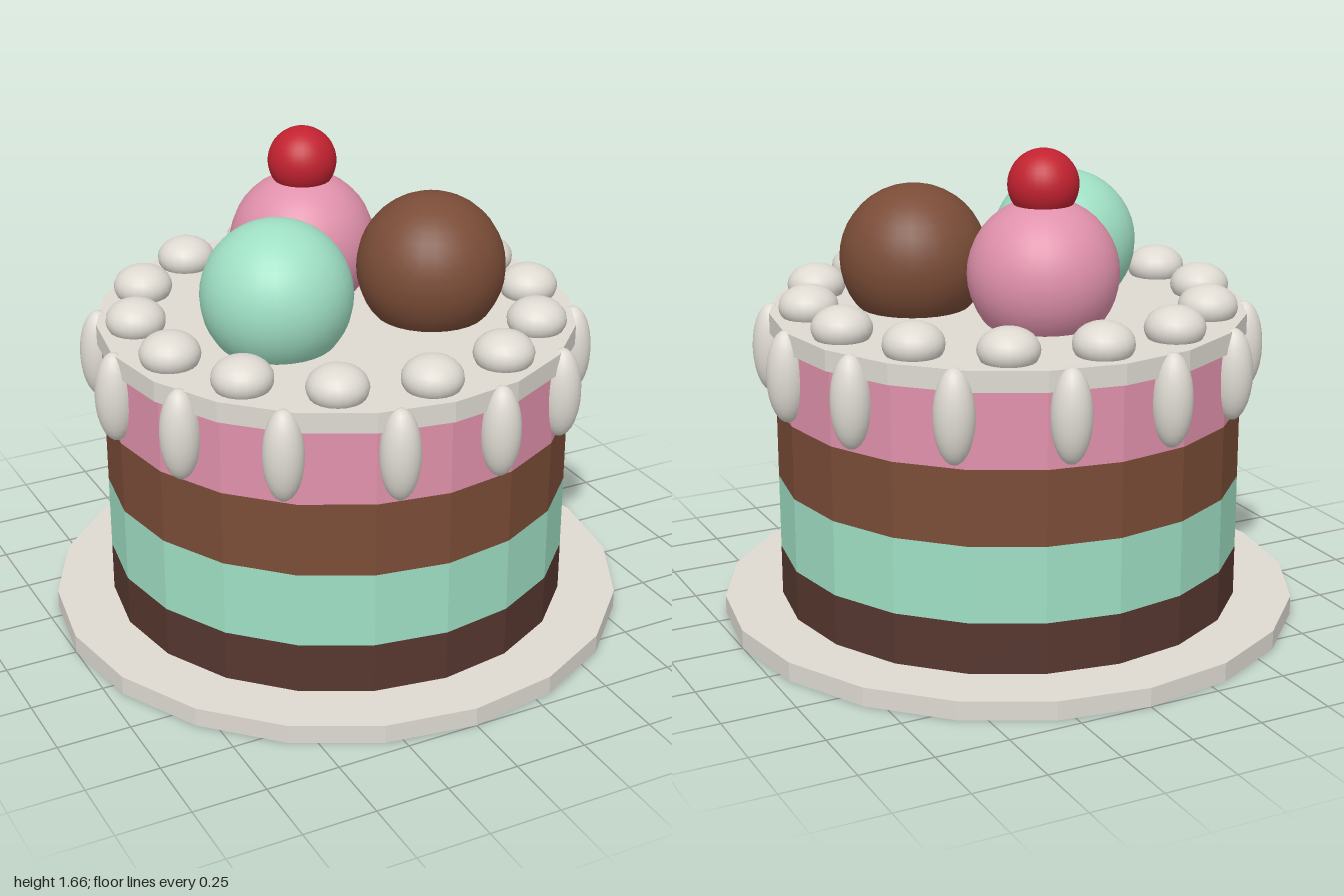
import * as THREE from 'three';

const flat = (name, color) => new THREE.MeshStandardMaterial({ name, color });

export function createModel() {
  const cake = new THREE.Group();
  cake.name = 'cake';

  const cream = flat('cream', 0xdedad2);
  const darkChocolate = flat('darkChocolate', 0x56372f);
  const mint = flat('mint', 0x9fdfc4);
  const chocolate = flat('chocolate', 0x7a4c37);
  const pink = flat('pink', 0xe091ab);
  const red = flat('red', 0xc22230);

  const add = (name, geometry, material, parent = cake) => {
    const mesh = new THREE.Mesh(geometry, material);
    mesh.name = name;
    parent.add(mesh);
    return mesh;
  };

  // Faceted 20-sided disc between two heights
  const disc = (name, radius, y0, y1, material, open = false) => {
    const g = new THREE.CylinderGeometry(radius, radius, y1 - y0, 20, 1, open).toNonIndexed();
    g.computeVertexNormals();
    g.translate(0, (y0 + y1) / 2, 0);
    return add(name, g, material);
  };

  // Plate, sponge layers and icing
  disc('plate', 1, 0, 0.065, cream);
  disc('bottomLayer', 0.8, 0.065, 0.24, darkChocolate, true);
  disc('mintLayer', 0.8, 0.24, 0.5, mint, true);
  disc('chocolateLayer', 0.8, 0.5, 0.755, chocolate, true);
  disc('pinkLayer', 0.8, 0.755, 1.01, pink, true);
  disc('icingTop', 0.815, 1.01, 1.08, cream);

  // Rings of squashed spheres around the cake
  const ring = (name, count, start, radius, y, scale) => {
    const group = new THREE.Group();
    group.name = name + 's';
    cake.add(group);
    const g = new THREE.SphereGeometry(1, 20, 14);
    for (let i = 0; i < count; i++) {
      const a = start + (i / count) * Math.PI * 2;
      const m = add(name, g, cream, group);
      m.position.set(Math.cos(a) * radius, y, Math.sin(a) * radius);
      m.scale.set(...scale);
      m.rotation.y = -a;
    }
  };
  ring('icingDrip', 14, 0, 0.812, 0.93, [0.067, 0.157, 0.067]);
  ring('creamDollop', 14, 0.24, 0.686, 1.113, [0.101, 0.073, 0.101]);

  // Ice cream scoops and cherry
  const ball = (name, radius, x, y, z, material) =>
    add(name, new THREE.SphereGeometry(radius, 28, 20), material).position.set(x, y, z);
  ball('mintScoop', 0.253, -0.29, 1.245, 0.143, mint);
  ball('chocolateScoop', 0.253, 0.287, 1.245, 0.143, chocolate);
  ball('pinkScoop', 0.253, 0, 1.245, -0.258, pink);
  ball('cherry', 0.118, 0, 1.542, -0.255, red);

  return cake;
}
